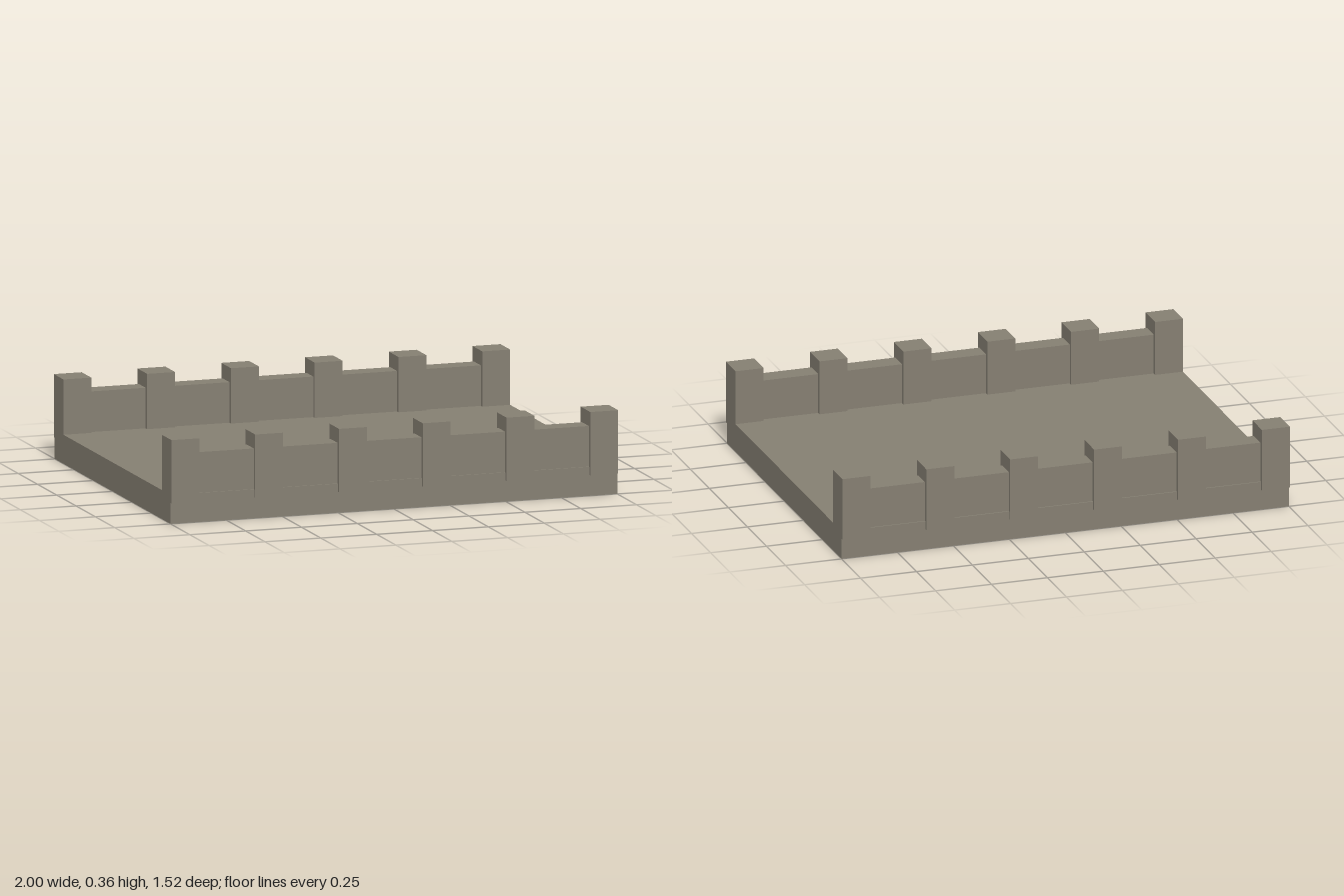
import * as THREE from 'three';

const stone = new THREE.MeshStandardMaterial({ color: 0x857f72, flatShading: true });

// Box spanning y0..y1, centred on x and z
function block(name, w, d, y0, y1, x = 0, z = 0) {
  const mesh = new THREE.Mesh(new THREE.BoxGeometry(w, y1 - y0, d), stone);
  mesh.name = name;
  mesh.position.set(x, (y0 + y1) / 2, z);
  return mesh;
}

export function createModel() {
  const model = new THREE.Group();
  model.name = 'bridgeSection';

  // Flat roadway slab
  model.add(block('deck', 2, 1.5, 0, 0.125));

  // A parapet along each long edge: low wall with six overlapping posts
  for (const side of [1, -1]) {
    const parapet = new THREE.Group();
    parapet.name = side > 0 ? 'frontParapet' : 'backParapet';
    parapet.position.z = side * 0.7;
    parapet.add(block('parapetWall', 1.99, 0.0875, 0.12, 0.3));
    for (let i = 0; i < 6; i++) {
      parapet.add(block('post', 0.125, 0.125, 0.09, 0.3635, -0.9375 + i * 0.375));
    }
    model.add(parapet);
  }
  return model;
}
